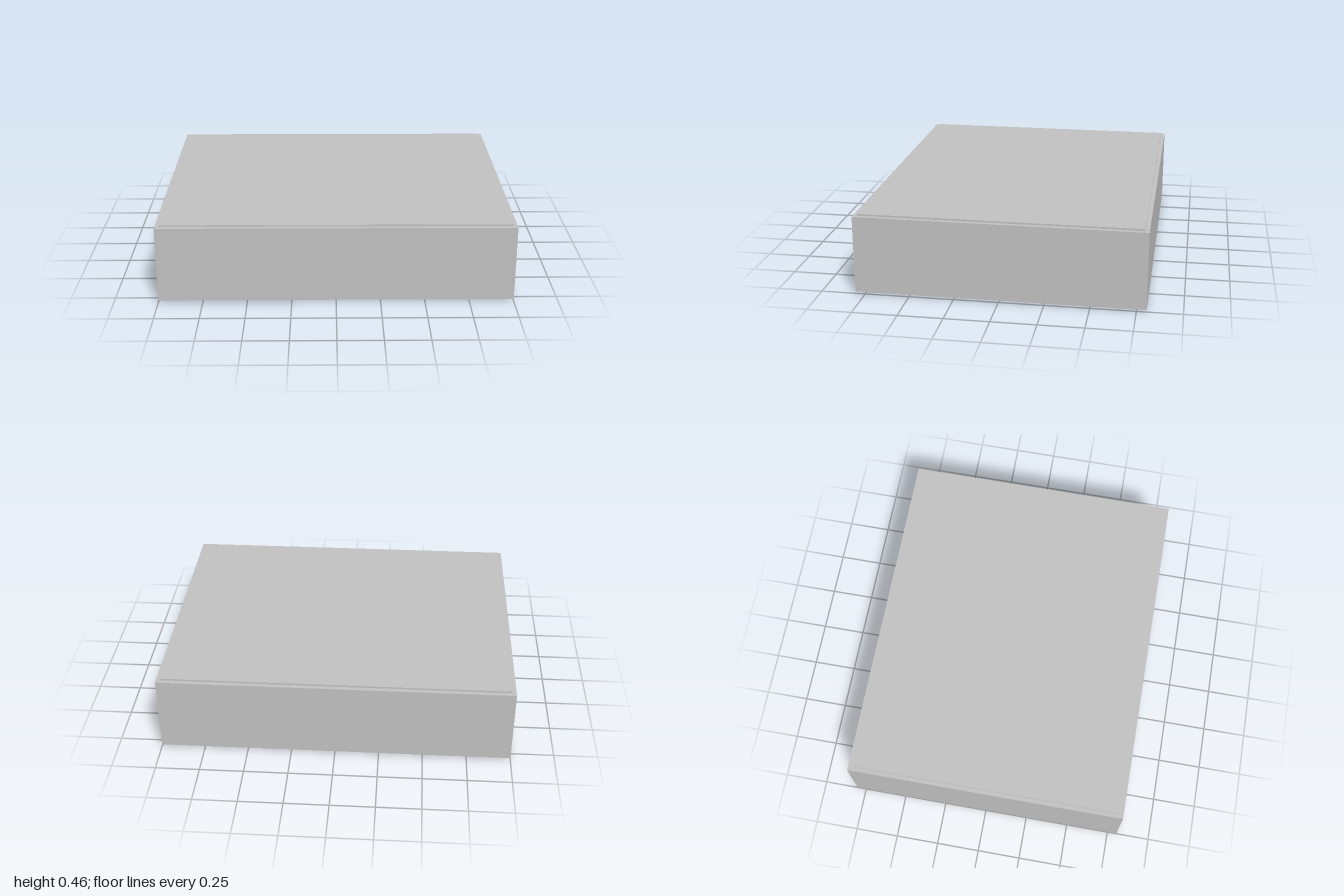
import * as THREE from 'three';

const WIDTH = 2, DEPTH = 1.61, INSET = 0.025;
const BODY_BOTTOM = 0.012, BODY_TOP = 0.45, TOP = 0.46;

// Recesses in the underside: a large one and a row of five along the back
const recesses = [{ x: 0, z: -0.11, r: 0.178 }];
for (let i = -2; i <= 2; i++) recesses.push({ x: i * 0.343, z: -0.64, r: 0.058 });

// Rectangle pierced by the recesses; shape y becomes z when turned face down
function piercedRectangle(w, d) {
  const shape = new THREE.Shape();
  shape.moveTo(-w / 2, -d / 2);
  shape.lineTo(w / 2, -d / 2);
  shape.lineTo(w / 2, d / 2);
  shape.lineTo(-w / 2, d / 2);
  shape.closePath();
  for (const { x, z, r } of recesses) {
    const hole = new THREE.Path();
    hole.absarc(x, z, r, 0, Math.PI * 2, true);
    shape.holes.push(hole);
  }
  return shape;
}

export function createModel() {
  const model = new THREE.Group();
  const grey = new THREE.MeshStandardMaterial({ color: 0xc0c0c0 });
  grey.name = 'light grey';

  function add(name, geometry, x = 0, y = 0, z = 0) {
    const mesh = new THREE.Mesh(geometry, grey);
    mesh.name = name;
    mesh.position.set(x, y, z);
    model.add(mesh);
    return mesh;
  }

  // Main body: a box whose bottom face is replaced by a pierced one
  const body = new THREE.BoxGeometry(WIDTH, BODY_TOP - BODY_BOTTOM, DEPTH);
  const index = Array.from(body.index.array);
  index.splice(18, 6);
  body.setIndex(index);
  body.clearGroups();
  add('body', body, 0, (BODY_TOP + BODY_BOTTOM) / 2, 0);

  const underside = new THREE.ShapeGeometry(piercedRectangle(WIDTH, DEPTH), 24);
  underside.rotateX(Math.PI / 2);
  add('bodyUnderside', underside, 0, BODY_BOTTOM, 0);

  // Thin inset panels above and below
  const w = WIDTH - 2 * INSET, d = DEPTH - 2 * INSET;
  add('topPanel', new THREE.BoxGeometry(w, TOP - BODY_TOP, d), 0, (TOP + BODY_TOP) / 2, 0);

  const panel = new THREE.ExtrudeGeometry(piercedRectangle(w, d), {
    depth: BODY_BOTTOM, bevelEnabled: false, curveSegments: 24,
  });
  panel.rotateX(Math.PI / 2);
  add('bottomPanel', panel, 0, BODY_BOTTOM, 0);

  // Rounded hollows, profile run from the crown down so they face inward
  recesses.forEach(({ x, z, r }, i) => {
    const profile = [];
    for (let k = 0; k <= 12; k++) {
      const a = (k / 12) * Math.PI / 2;
      profile.push(new THREE.Vector2(r * Math.sin(a), r * Math.cos(a)));
    }
    add(i === 0 ? 'largeRecess' : 'smallRecess' + i, new THREE.LatheGeometry(profile, 48), x, 0, z);
  });

  return model;
}
